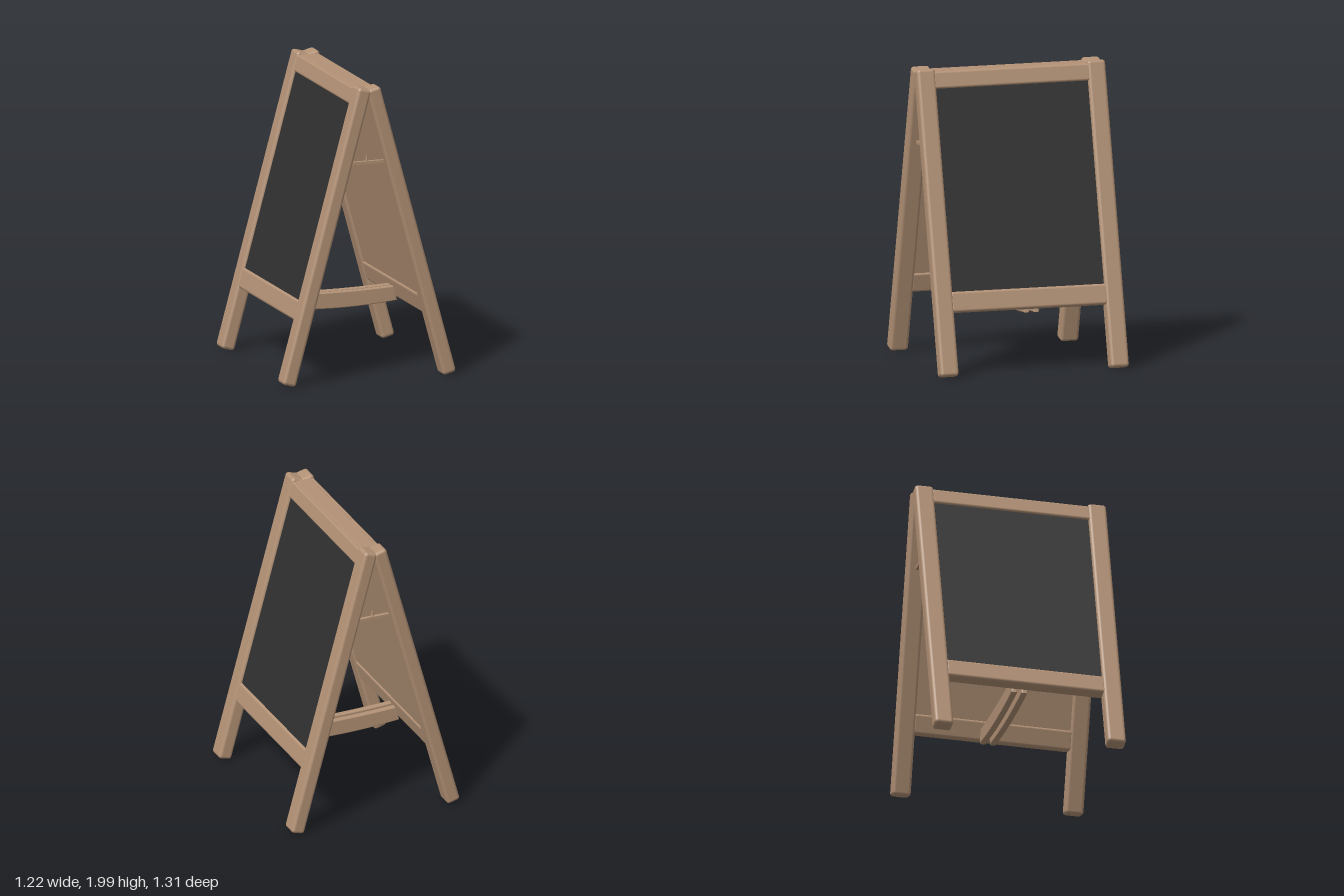
import * as THREE from 'three';
import { RoundedBoxGeometry } from 'three/addons/geometries/RoundedBoxGeometry.js';

export function createModel() {
  const model = new THREE.Group();
  model.name = 'sandwichBoard';
  const wood = new THREE.MeshStandardMaterial({ color: 0xb39276 });
  wood.name = 'wood';
  const slate = new THREE.MeshStandardMaterial({ color: 0x303030 });
  slate.name = 'chalkboard';

  const add = (parent, name, geometry, material, x = 0, y = 0, z = 0) => {
    const mesh = new THREE.Mesh(geometry, material);
    mesh.name = name;
    mesh.position.set(x, y, z);
    parent.add(mesh);
    return mesh;
  };
  // Rounded bar given by its lower and upper limits on each axis
  const bar = (parent, name, [x0, x1], [y0, y1], [z0, z1], radius) =>
    add(parent, name, new RoundedBoxGeometry(x1 - x0, y1 - y0, z1 - z0, 3, radius), wood,
      (x0 + x1) / 2, (y0 + y1) / 2, (z0 + z1) / 2);

  // Two leaning frames; local +x is the outer face, local y runs along the legs
  const tilt = THREE.MathUtils.degToRad(15.2);
  for (const side of [1, -1]) {
    const half = new THREE.Group();
    half.name = side > 0 ? 'leftHalf' : 'rightHalf';
    half.rotation.y = side > 0 ? 0 : Math.PI;
    const frame = new THREE.Group();
    frame.name = 'frame';
    frame.position.set(0.299, 1, 0);
    frame.rotation.z = tilt;
    half.add(frame);
    model.add(half);

    bar(frame, 'frontLeg', [-0.0475, 0.0475], [-1.025, 1.025], [0.528, 0.655], 0.022);
    bar(frame, 'backLeg', [-0.0475, 0.0475], [-1.025, 1.025], [-0.655, -0.528], 0.022);
    bar(frame, 'topRail', [-0.045, 0.041], [0.89, 1.005], [-0.545, 0.545], 0.015);
    bar(frame, 'bottomRail', [-0.042, 0.041], [-0.602, -0.464], [-0.545, 0.545], 0.018);
    add(frame, 'backingPanel', new THREE.BoxGeometry(0.052, 1.39, 1.08), wood, -0.006, 0.215, 0);
    add(frame, 'chalkboard', new THREE.BoxGeometry(0.008, 1.364, 1.052), slate, 0.024, 0.214, 0);
  }

  // Ridge closing the gap between the two top rails
  bar(model, 'ridge', [-0.06, 0.06], [1.89, 1.978], [-0.545, 0.545], 0.012);

  // Pair of sagging braces low between the frames
  const profile = new THREE.Shape();
  profile.moveTo(-0.42, 0.392);
  profile.quadraticCurveTo(0, 0.348, 0.42, 0.392);
  profile.lineTo(0.4, 0.485);
  profile.quadraticCurveTo(0, 0.463, -0.4, 0.485);
  profile.closePath();
  const brace = new THREE.ExtrudeGeometry(profile, {
    depth: 0.022, curveSegments: 16, bevelEnabled: true,
    bevelThickness: 0.01, bevelSize: 0.007, bevelOffset: -0.003, bevelSegments: 2,
  });
  brace.translate(0, 0, -0.011);
  add(model, 'frontBrace', brace, wood, 0, 0, 0.004);
  add(model, 'backBrace', brace, wood, 0, 0, -0.064);

  // Small hinged stays near the top, one at each end
  for (const z of [0.59, -0.59]) {
    const stay = new THREE.Group();
    stay.name = z > 0 ? 'frontStay' : 'backStay';
    stay.position.set(0, 1.477, z);
    add(stay, 'stayBar', new THREE.BoxGeometry(0.27, 0.02, 0.025), wood);
    add(stay, 'stayPin', new THREE.CylinderGeometry(0.004, 0.01, 0.045, 10), wood, 0, 0.03, 0);
    model.add(stay);
  }
  return model;
}
